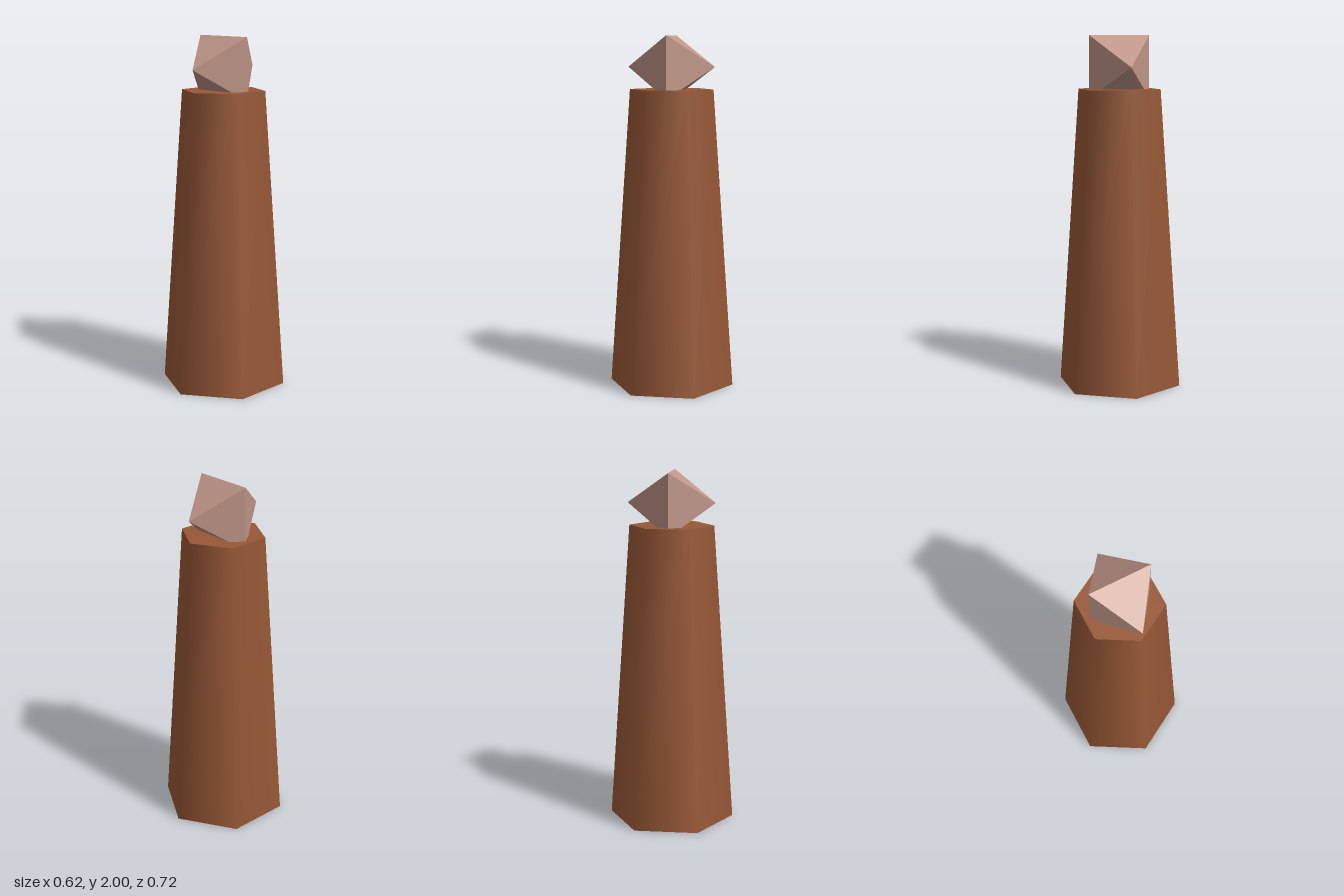
import * as THREE from 'three';

export function createModel() {
  const model = new THREE.Group();

  function addPart(name, geometry, material, y) {
    const mesh = new THREE.Mesh(geometry, material);
    mesh.name = name;
    mesh.position.y = y;
    model.add(mesh);
    return mesh;
  }

  // Tapered six-sided post with smooth side normals and flat caps
  const height = 1.7;
  addPart('post', new THREE.CylinderGeometry(0.239, 0.358, height, 6),
    new THREE.MeshStandardMaterial({ color: 0x985836 }), height / 2);

  // Faceted crystal, turned so that one edge lies along the top
  const radius = 0.247;
  const crystal = addPart('crystal', new THREE.OctahedronGeometry(radius),
    new THREE.MeshStandardMaterial({ color: 0xc09688, flatShading: true }), 2 - radius * Math.SQRT1_2);
  crystal.rotation.z = Math.PI / 4;

  return model;
}
